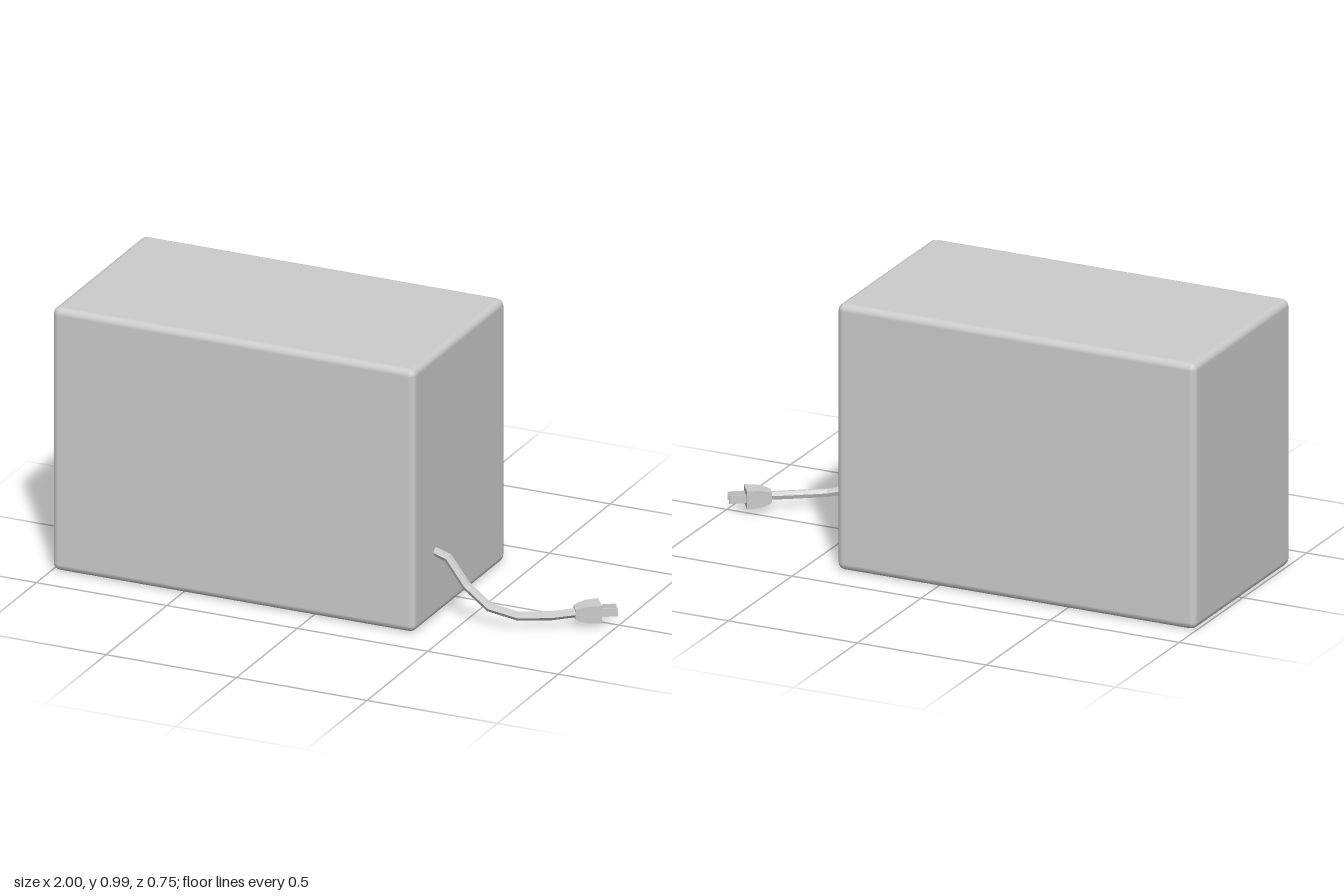
import * as THREE from 'three';
import { RoundedBoxGeometry } from 'three/addons/geometries/RoundedBoxGeometry.js';

const smooth = new THREE.MeshStandardMaterial({ color: 0xcccccc, side: THREE.DoubleSide });
const flat = new THREE.MeshStandardMaterial({ color: 0xcccccc, flatShading: true, side: THREE.DoubleSide });

function mesh(name, geometry, material) {
  const m = new THREE.Mesh(geometry, material);
  m.name = name;
  return m;
}

// Rounded box with its flat underside left out
function openShell(w, h, d, radius) {
  const geo = new RoundedBoxGeometry(w, h, d, 2, radius);
  const pos = geo.attributes.position;
  const index = [];
  for (let i = 0; i < pos.count; i += 3) {
    const corners = [i, i + 1, i + 2];
    if (!corners.every((c) => pos.getY(c) < -h / 2 + 1e-4)) index.push(...corners);
  }
  geo.setIndex(index);
  geo.clearGroups();
  return geo;
}

// Faceted tube with one ring at each path point
function cordGeometry(points, radius) {
  const curve = new THREE.CatmullRomCurve3(points.map((p) => new THREE.Vector3(...p)));
  curve.getPointAt = (t, target) => curve.getPoint(t, target);
  curve.getTangentAt = (t, target) => curve.getTangent(t, target);
  return new THREE.TubeGeometry(curve, points.length - 1, radius, 6);
}

// Tapered grip: box stations along x, each with its own half height and half width
function gripGeometry() {
  const stations = [
    [-0.09, 0.018, 0.023],
    [-0.075, 0.024, 0.029],
    [-0.045, 0.032, 0.033],
    [0, 0.033, 0.038],
  ];
  const geo = new THREE.BoxGeometry(3, 2, 2, 3, 1, 1);
  const pos = geo.attributes.position;
  for (let i = 0; i < pos.count; i++) {
    const [x, hy, hz] = stations[Math.round(pos.getX(i) + 1.5)];
    pos.setXYZ(i, x, pos.getY(i) * hy, pos.getZ(i) * hz);
  }
  geo.computeVertexNormals();
  return geo;
}

export function createModel() {
  const model = new THREE.Group();
  model.name = 'cabinetWithPowerCord';

  // Cabinet
  const cabinet = mesh('cabinet', openShell(1.39, 0.985, 0.755, 0.026), smooth);
  cabinet.position.set(-0.305, 0.4925, 0);
  model.add(cabinet);

  // Power cord
  model.add(mesh('cord', cordGeometry([
    [0.38, 0.248, 0.2],
    [0.44, 0.23, 0.202],
    [0.51, 0.14, 0.205],
    [0.6, 0.075, 0.208],
    [0.7, 0.05, 0.185],
    [0.8, 0.047, 0.125],
    [0.87, 0.05, 0.068],
  ], 0.016), flat));

  // Plug with two flat prongs
  const plug = new THREE.Group();
  plug.name = 'plug';
  plug.position.set(0.937, 0.05, 0.02);
  plug.rotation.y = 0.6;
  plug.add(mesh('plugGrip', gripGeometry(), flat));
  for (const side of [-1, 1]) {
    const prong = mesh(side < 0 ? 'backProng' : 'frontProng', new THREE.BoxGeometry(0.06, 0.03, 0.005), flat);
    prong.position.set(0.03, 0, side * 0.02);
    plug.add(prong);
  }
  model.add(plug);

  return model;
}
